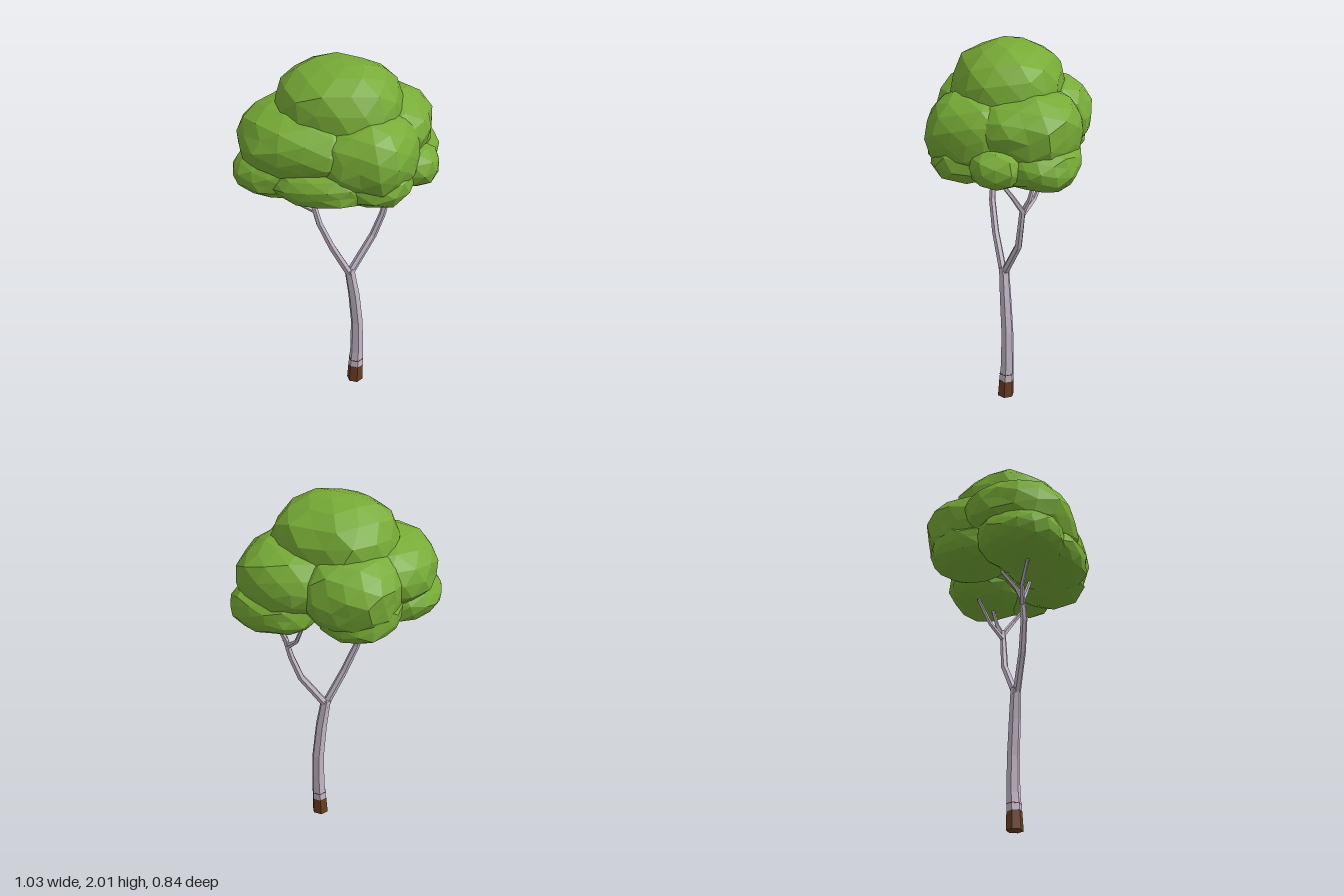
import * as THREE from 'three';

const flat = (name, color) => {
  const m = new THREE.MeshStandardMaterial({ color, flatShading: true });
  m.name = name;
  return m;
};

// Tapered faceted limb through points [x, y, z, radius]
function limb(points, sides) {
  const pos = [], index = [];
  const P = points.map(p => new THREE.Vector3(p[0], p[1], p[2]));
  const last = P.length - 1;
  P.forEach((p, i) => {
    const t = P[Math.min(i + 1, last)].clone().sub(P[Math.max(i - 1, 0)]).normalize();
    const u = t.clone().cross(new THREE.Vector3(0, 0, 1)).normalize();
    const v = t.clone().cross(u);
    // The foot of the trunk sits level on the ground
    if (p.y === 0) { u.set(1, 0, 0); v.set(0, 0, -1); }
    for (let j = 0; j < sides; j++) {
      const a = (j / sides) * Math.PI * 2, r = points[i][3];
      const q = p.clone().addScaledVector(u, Math.cos(a) * r).addScaledVector(v, Math.sin(a) * r);
      pos.push(q.x, q.y, q.z);
    }
  });
  for (let i = 0; i < last; i++) {
    for (let j = 0; j < sides; j++) {
      const a = i * sides + j, b = i * sides + (j + 1) % sides;
      index.push(a, b, a + sides, b, b + sides, a + sides);
    }
  }
  // End caps
  for (let j = 1; j < sides - 1; j++) {
    const e = last * sides;
    index.push(0, j + 1, j, e, e + j, e + j + 1);
  }
  const g = new THREE.BufferGeometry();
  g.setAttribute('position', new THREE.Float32BufferAttribute(pos, 3));
  g.setIndex(index);
  g.computeVertexNormals();
  return g;
}

// Lumpy, slightly boxy low-poly leaf mass
function leafClump(center, radii, detail, seed) {
  const g = new THREE.IcosahedronGeometry(1, detail);
  g.rotateY(seed * 1.3);
  g.rotateX(seed * 0.7);
  const a = g.attributes.position, n = new THREE.Vector3(), k = 2.5;
  // The same direction always gives the same offset, so faces stay joined
  const noise = (x, y, z) => {
    const r = c => Math.round(c * 100);
    const s = Math.sin(r(x) * 12.99 + r(y) * 78.23 + r(z) * 37.72 + seed * 5.1) * 437.58;
    return s - Math.floor(s);
  };
  for (let i = 0; i < a.count; i++) {
    n.fromBufferAttribute(a, i);
    const len = (Math.abs(n.x) ** k + Math.abs(n.y) ** k + Math.abs(n.z) ** k) ** (1 / k);
    const s = (0.95 + 0.08 * noise(n.x, n.y, n.z)) / len;
    a.setXYZ(i, center[0] + n.x * s * radii[0], center[1] + n.y * s * radii[1], center[2] + n.z * s * radii[2]);
  }
  g.computeVertexNormals();
  return g;
}

export function createModel() {
  const tree = new THREE.Group();
  tree.name = 'tree';
  const bark = flat('pale bark', 0xc6bbcb);
  const soil = flat('brown trunk base', 0x6b3f22);
  const leaf = flat('leaf green', 0x77ab36);
  const add = (name, geometry, material, parent = tree) => {
    const m = new THREE.Mesh(geometry, material);
    m.name = name;
    parent.add(m);
  };

  // Trunk with its dark foot and a thin bark ring
  add('trunkBase', limb([[0.082, 0, -0.008, 0.046], [0.085, 0.1, -0.012, 0.042]], 6), soil);
  add('trunk', limb([
    [0.085, 0.1, -0.012, 0.042], [0.088, 0.2, -0.018, 0.037], [0.088, 0.4, -0.018, 0.034],
    [0.073, 0.6, -0.005, 0.032], [0.05, 0.77, 0.008, 0.028],
  ], 6), bark);
  add('barkRing', limb([[0.086, 0.139, -0.014, 0.0412], [0.086, 0.144, -0.014, 0.0412]], 6), soil);

  // Two main branches, each ending in three twigs
  const branches = new THREE.Group();
  branches.name = 'branches';
  tree.add(branches);
  const forks = [
    {
      side: 'right',
      path: [[0.058, 0.73, 0.008, 0.022], [-0.03, 0.94, 0.07, 0.02], [-0.09, 1.1, 0.1, 0.018], [-0.12, 1.21, 0.1, 0.016]],
      twigs: [
        [[-0.12, 1.18, 0.1], [-0.22, 1.24, 0.13], [-0.3, 1.35, 0.19]],
        [[-0.12, 1.2, 0.1], [-0.13, 1.27, 0.07], [-0.14, 1.38, -0.01]],
        [[-0.12, 1.2, 0.1], [-0.06, 1.27, 0.1], [-0.02, 1.38, 0.12]],
      ],
    },
    {
      side: 'left',
      path: [[0.045, 0.73, 0.01, 0.022], [0.155, 0.95, -0.09, 0.02], [0.2, 1.08, -0.11, 0.018], [0.225, 1.2, -0.125, 0.016]],
      twigs: [
        [[0.225, 1.18, -0.125], [0.28, 1.28, -0.08], [0.32, 1.39, -0.01]],
        [[0.22, 1.18, -0.125], [0.23, 1.25, -0.16], [0.22, 1.37, -0.19]],
        [[0.21, 1.15, -0.12], [0.14, 1.22, -0.17], [0.08, 1.35, -0.22]],
      ],
    },
  ];
  for (const { side, path, twigs } of forks) {
    add(side + 'Branch', limb(path, 6), bark, branches);
    twigs.forEach((t, i) =>
      add(side + 'Twig' + (i + 1), limb(t.map((p, j) => [...p, 0.015 - j * 0.003]), 5), bark, branches));
  }

  // Canopy: crown on top, a wide middle tier and a ragged lower tier
  const canopy = new THREE.Group();
  canopy.name = 'canopy';
  tree.add(canopy);
  const clumps = [
    ['crown', [-0.01, 1.75, 0], [0.32, 0.255, 0.285], 2],
    ['middleFrontRight', [-0.15, 1.62, 0.1], [0.355, 0.19, 0.3], 2],
    ['middleBackLeft', [0.17, 1.61, -0.13], [0.27, 0.2, 0.28], 2],
    ['middleBackRight', [-0.17, 1.59, -0.15], [0.25, 0.21, 0.26], 2],
    ['middleFrontLeft', [0.16, 1.59, 0.12], [0.265, 0.21, 0.26], 2],
    ['lowerFrontRight', [-0.28, 1.46, 0.15], [0.235, 0.125, 0.23], 2],
    ['lowerFront', [-0.04, 1.46, 0.2], [0.28, 0.12, 0.22], 2],
    ['lowerFrontLeft', [0.21, 1.46, 0.15], [0.2, 0.12, 0.2], 1],
    ['lowerLeft', [0.35, 1.47, -0.02], [0.165, 0.11, 0.14], 1],
    ['lowerBackLeft', [0.22, 1.46, -0.22], [0.24, 0.125, 0.2], 2],
    ['lowerBackRight', [-0.2, 1.48, -0.16], [0.21, 0.125, 0.22], 2],
  ];
  clumps.forEach(([name, c, r, d], i) => add(name, leafClump(c, r, d, i + 1), leaf, canopy));

  return tree;
}
